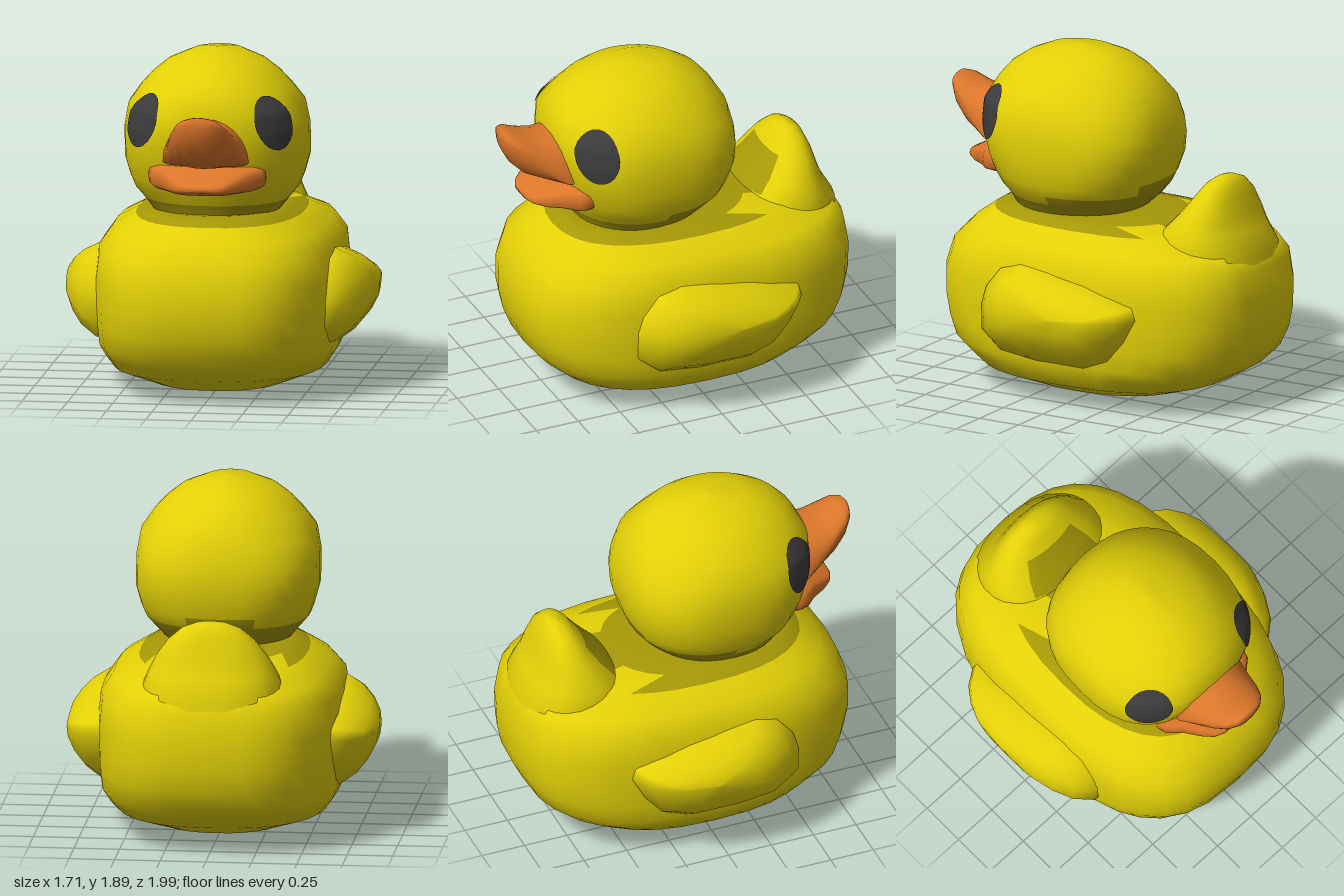
import * as THREE from 'three';

function paint(name, color) {
  const material = new THREE.MeshStandardMaterial({ color });
  material.name = name;
  return material;
}
const yellow = paint('yellow', 0xe2d006);
const deepYellow = paint('deepYellow', 0xa69806);
const orange = paint('orange', 0xdb762a);
const charcoal = paint('charcoal', 0x3b3b3b);

const lerp = THREE.MathUtils.lerp;
const bend = (v, n) => Math.sign(v) * Math.abs(v) ** (2 / n);

// Skin a list of closed rings (each a list of [x, y, z]) with smooth normals.
// Faces whose middle passes the 'deep' test take the second material.
function loft(name, rings, material, deep = () => false) {
  const count = rings[0].length, main = [], second = [];
  for (let i = 0; i < rings.length - 1; i++) {
    for (let j = 0; j < count; j++) {
      const k = (j + 1) % count, a = i * count + j, b = i * count + k;
      const corners = [rings[i][j], rings[i][k], rings[i + 1][j], rings[i + 1][k]];
      const middle = [0, 1, 2].map(c => corners.reduce((sum, p) => sum + p[c] / 4, 0));
      (deep(...middle) ? second : main).push(a, b, a + count, b, b + count, a + count);
    }
  }
  const geometry = new THREE.BufferGeometry();
  geometry.setAttribute('position', new THREE.Float32BufferAttribute(rings.flat(2), 3));
  geometry.setIndex([...main, ...second]);
  geometry.addGroup(0, main.length, 0);
  geometry.addGroup(main.length, second.length, 1);
  geometry.computeVertexNormals();
  const mesh = new THREE.Mesh(geometry, second.length ? [material, deepYellow] : material);
  mesh.name = name;
  return mesh;
}

// Sample a function of angle around a full turn
const around = (count, fn) => Array.from({ length: count }, (_, j) => fn(j / count * Math.PI * 2));

// Point on a horizontal superellipse: [y, back z, front z, half width, squareness]
const levelPoint = ([y, back, front, w, n], t) => [
  w * bend(Math.sin(t), n), y, (back + front) / 2 + (front - back) / 2 * bend(Math.cos(t), n)];
const levels = (table, count) => table.map(row => around(count, t => levelPoint(row, t)));

// Beak sections: [z, bottom y, y of the widest line, top y, half width]
const beakRings = (table, n) => table.map(([z, y0, mid, y1, w]) => around(24, t => {
  const s = bend(Math.sin(t), n);
  return [w * bend(Math.cos(t), n), mid + s * (s > 0 ? y1 - mid : mid - y0), z];
}));

const BODY = [
  [0.005, 0, 0, 0, 2.2], [0.012, -0.2, 0.26, 0.15, 2.2], [0.04, -0.46, 0.48, 0.36, 2.3],
  [0.13, -0.72, 0.71, 0.58, 2.5], [0.2, -0.84, 0.79, 0.625, 2.6], [0.27, -0.91, 0.85, 0.655, 2.8],
  [0.38, -0.965, 0.895, 0.665, 2.8], [0.5, -0.99, 0.92, 0.67, 2.8], [0.65, -0.995, 0.92, 0.67, 2.8],
  [0.8, -0.97, 0.87, 0.655, 2.8], [0.9, -0.92, 0.78, 0.585, 2.6], [0.975, -0.7, 0.68, 0.46, 2.4],
  [1, -0.42, 0.64, 0.39, 2.3], [1.025, -0.24, 0.59, 0.34, 2.2], [1.03, 0.16, 0.16, 0, 2.2]];

const HEAD = [
  [0.98, -0.11, 0.54, 0.32, 2.2], [1.03, -0.18, 0.56, 0.36, 2.2], [1.08, -0.235, 0.585, 0.4, 2.2],
  [1.14, -0.28, 0.62, 0.45, 2.3], [1.2, -0.305, 0.645, 0.473, 2.4], [1.3, -0.335, 0.68, 0.5, 2.5],
  [1.4, -0.34, 0.7, 0.5, 2.6], [1.48, -0.335, 0.715, 0.5, 2.5], [1.6, -0.31, 0.72, 0.48, 2.3],
  [1.7, -0.25, 0.67, 0.41, 2.05], [1.77, -0.19, 0.61, 0.345, 2], [1.83, -0.1, 0.52, 0.27, 2],
  [1.885, 0.01, 0.39, 0.14, 2], [1.9, 0.19, 0.19, 0, 2]];

const TAIL = [
  [0.6, -0.97, -0.35, 0.38, 2.3], [0.88, -0.95, -0.33, 0.4, 2.3], [1, -0.88, -0.42, 0.35, 2.3],
  [1.08, -0.85, -0.5, 0.31, 2.3], [1.18, -0.82, -0.58, 0.24, 2.3], [1.25, -0.79, -0.63, 0.16, 2.2],
  [1.28, -0.76, -0.67, 0.08, 2.2], [1.29, -0.715, -0.715, 0, 2.2]];

const UPPER_BEAK = [
  [0.55, 1.31, 1.33, 1.6, 0.24], [0.68, 1.31, 1.34, 1.59, 0.235], [0.78, 1.32, 1.42, 1.58, 0.2],
  [0.87, 1.355, 1.5, 1.6, 0.17], [0.94, 1.425, 1.56, 1.63, 0.135], [0.98, 1.5, 1.59, 1.635, 0.09],
  [0.993, 1.55, 1.59, 1.625, 0.05], [0.995, 1.59, 1.59, 1.59, 0]];
const LOWER_BEAK = [
  [0.5, 1.17, 1.25, 1.33, 0.3], [0.6, 1.165, 1.25, 1.33, 0.325], [0.65, 1.165, 1.25, 1.325, 0.31],
  [0.71, 1.165, 1.24, 1.3, 0.24], [0.79, 1.172, 1.22, 1.27, 0.18], [0.845, 1.19, 1.215, 1.24, 0.13],
  [0.868, 1.2, 1.215, 1.23, 0.08], [0.87, 1.215, 1.215, 1.215, 0]];

// Wing outline [z, y], front edge first and then along the bottom
const WING = [
  [0.45, 0.55], [0.45, 0.4], [0.33, 0.3], [0.1, 0.27], [-0.2, 0.27], [-0.35, 0.33], [-0.45, 0.45],
  [-0.52, 0.58], [-0.5, 0.65], [-0.2, 0.74], [0.02, 0.78], [0.2, 0.8], [0.33, 0.76], [0.42, 0.65]];
// Wing layers: [x, y scale, z scale]
const WING_LAYERS = [[0.5, 1, 1], [0.65, 1, 1], [0.74, 0.79, 0.86], [0.8, 0.55, 0.67], [0.84, 0.3, 0.45], [0.855, 0, 0]];

function wing(side) {
  const rings = WING_LAYERS.map(([x, sy, sz]) => {
    const ring = WING.map(([z, y]) => [side * x, lerp(0.57, y, sy), lerp(-0.09, z, sz)]);
    return side > 0 ? ring : ring.reverse();
  });
  return loft(side > 0 ? 'leftWing' : 'rightWing', rings, yellow);
}

// Head surface at a height and angle, lifted slightly outwards
function headPoint(y, t) {
  const i = HEAD.findIndex(row => row[0] > y), a = HEAD[i - 1], b = HEAD[i];
  const f = (y - a[0]) / (b[0] - a[0]);
  const [px, py, pz] = levelPoint(a.map((v, k) => lerp(v, b[k], f)), t);
  return [px * 1.016, py, 0.19 + (pz - 0.19) * 1.016];
}

// Thin oval eye that follows the head
function eye(side) {
  const rings = [1, 0.8, 0.6, 0.4, 0.2, 0].map(r => around(24, t =>
    headPoint(1.545 + 0.147 * r * Math.sin(t), side * 0.8 + 0.29 * r * Math.cos(t))));
  return loft(side > 0 ? 'leftEye' : 'rightEye', rings, charcoal);
}

export function createModel() {
  const model = new THREE.Group();
  model.name = 'bathDuck';
  model.add(
    // Deep yellow collar around the neck, reaching back into the hollow before the tail
    loft('body', levels(BODY, 32), yellow, (x, y, z) => y > 0.98 && (z > -0.32 || Math.abs(x) < 0.19)),
    loft('tail', levels(TAIL, 28), yellow, (x, y, z) => z > -0.62 && Math.abs(x) < 0.19 && y < 1.15),
    // Deep yellow underside of the head, higher at the back
    loft('head', levels(HEAD, 36), yellow, (x, y, z) => y < 1.11 - 0.13 * (z - 0.2)),
    loft('upperBeak', beakRings(UPPER_BEAK, 2), orange),
    loft('lowerBeak', beakRings(LOWER_BEAK, 3.5), orange));
  for (const side of [1, -1]) model.add(wing(side), eye(side));
  return model;
}
